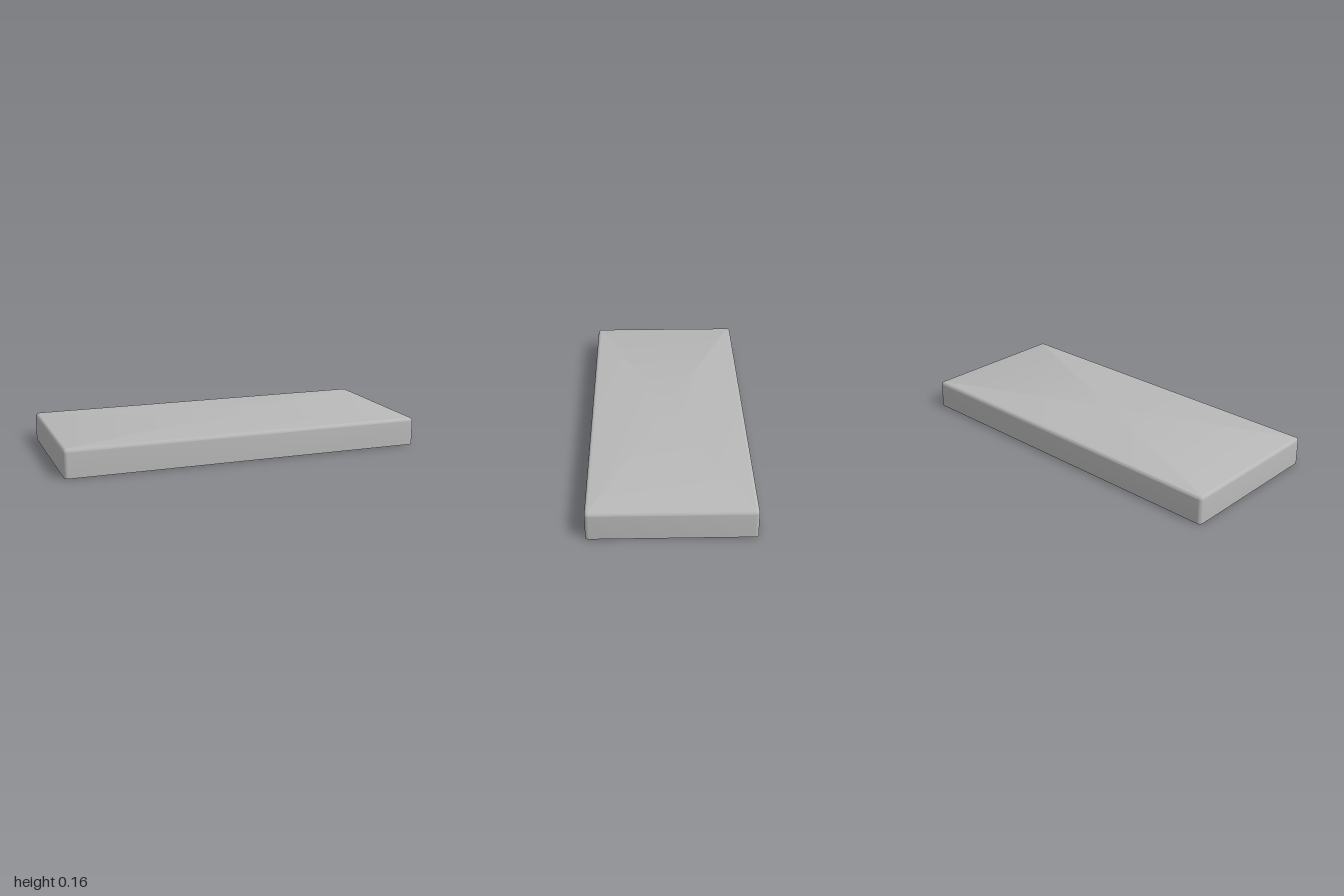
import * as THREE from 'three';
import { toCreasedNormals, mergeGeometries } from 'three/addons/utils/BufferGeometryUtils.js';

const HALF_X = 1, HALF_Z = 0.43, HEIGHT = 0.155;
const WALL = 0.02, CEILING = 0.123, ROUND = 0.02, STEPS = 6;

// Rounded-rectangle outline, inset from the outer footprint
function outline(inset, y) {
  const r = Math.max(ROUND - inset, 0.001), pts = [];
  const cx = HALF_X - inset - r, cz = HALF_Z - inset - r;
  for (const [q, sx, sz] of [[0, 1, 1], [1, -1, 1], [2, -1, -1], [3, 1, -1]]) {
    for (let i = 0; i <= STEPS; i++) {
      const a = (q + i / STEPS) * Math.PI / 2;
      pts.push([sx * cx + r * Math.cos(a), y, sz * cz + r * Math.sin(a)]);
    }
  }
  return pts;
}

// Hollow box open at the bottom, lofted from the inner ceiling round to the top
function shellGeometry() {
  const rings = [outline(WALL, CEILING), outline(WALL, 0), outline(0, 0)];
  for (let i = 0; i <= STEPS; i++) {
    const a = i / STEPS * Math.PI / 2;
    rings.push(outline(ROUND * (1 - Math.cos(a)), HEIGHT - ROUND * (1 - Math.sin(a))));
  }
  const pos = [], n = rings[0].length, last = rings[rings.length - 1];
  for (let i = 0; i < n; i++) {
    const j = (i + 1) % n;
    pos.push(0, CEILING, 0, ...rings[0][i], ...rings[0][j]);
    for (let k = 0; k < rings.length - 1; k++) {
      const a = rings[k], b = rings[k + 1];
      pos.push(...a[i], ...b[i], ...a[j], ...a[j], ...b[i], ...b[j]);
    }
    pos.push(...last[i], 0, HEIGHT, 0, ...last[j]);
  }
  const g = new THREE.BufferGeometry();
  g.setAttribute('position', new THREE.Float32BufferAttribute(pos, 3));
  return toCreasedNormals(g, 0.5);
}

// Short hollow nozzle hanging from the ceiling
function nozzleGeometry() {
  const profile = [[0.014, 0.002], [0.014, -0.016], [0.024, -0.016], [0.024, 0.002]]
    .map(([r, y]) => new THREE.Vector2(r, y));
  // Lathe faces point outward when the profile climbs on the outside
  return toCreasedNormals(new THREE.LatheGeometry(profile, 14), 0.6);
}

export function createModel() {
  const model = new THREE.Group();
  const grey = new THREE.MeshStandardMaterial({ color: 0xb8b8b8 });
  grey.name = 'plain grey';

  const shell = new THREE.Mesh(shellGeometry(), grey);
  shell.name = 'shell';
  model.add(shell);

  // Staggered field of nozzles under the ceiling
  const nozzle = nozzleGeometry(), parts = [];
  for (let row = -4; row <= 4; row++) {
    const odd = Math.abs(row) % 2;
    const count = odd ? 12 : 13;
    for (let i = 0; i < count; i++) {
      parts.push(nozzle.clone().translate((i - (count - 1) / 2) * 0.14, CEILING, row * 0.07));
    }
  }
  const nozzles = new THREE.Mesh(mergeGeometries(parts), grey);
  nozzles.name = 'nozzles';
  model.add(nozzles);

  // Small round studs on the inside of the front wall
  for (const x of [-0.7, 0, 0.7]) {
    const stud = new THREE.Mesh(new THREE.SphereGeometry(0.015, 14, 10), grey);
    stud.position.set(x, 0.058, HALF_Z - WALL);
    stud.name = 'wallStud';
    model.add(stud);
  }
  return model;
}
